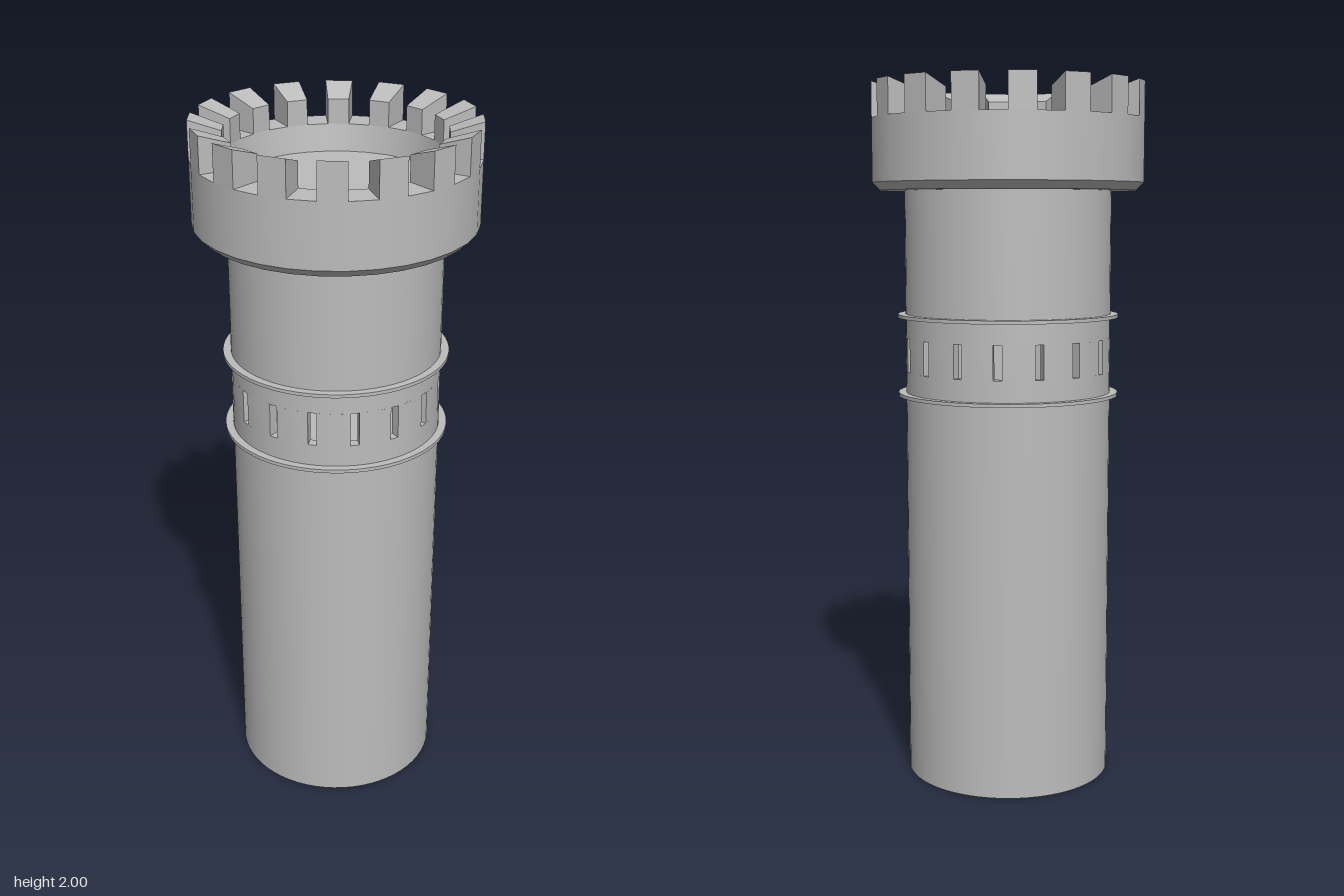
import * as THREE from 'three';
import { mergeGeometries, toCreasedNormals } from 'three/addons/utils/BufferGeometryUtils.js';

const STONE = new THREE.MeshStandardMaterial({ color: 0xbcbcbc });
STONE.name = 'stone grey';

const R = 0.295;          // shaft radius
const RI = 0.265;         // inside of the gallery wall
const SLOT_LOW = 1.187, SLOT_HIGH = 1.283;
const HEAD_R = 0.388, HEAD_INNER = 0.2985;

// Turned shape: round around the axis, sharp at every profile corner
function turned(points, sides, start = 0) {
  const bands = [];
  for (let i = 0; i < points.length - 1; i++) {
    const pair = [points[i], points[i + 1]].map(([r, y]) => new THREE.Vector2(r, y));
    bands.push(new THREE.LatheGeometry(pair, sides, start));
  }
  return mergeGeometries(bands);
}

// One wall piece between two window slots, with parallel slot sides
function pierGeometry() {
  const halfSlot = 0.012, half = Math.PI / 16, steps = 4;
  const outer = half - Math.asin(halfSlot / R);
  const inner = half - Math.asin(halfSlot / RI);
  const pts = [];
  const arc = (r, from, to) => {
    for (let i = 0; i <= steps; i++) {
      const a = from + (to - from) * i / steps;
      pts.push(new THREE.Vector2(r * Math.cos(a), r * Math.sin(a)));
    }
  };
  arc(R, -outer, outer);
  arc(RI, inner, -inner);
  const geo = new THREE.ExtrudeGeometry(new THREE.Shape(pts), {
    depth: SLOT_HIGH - SLOT_LOW, bevelEnabled: false,
  });
  geo.rotateX(-Math.PI / 2);
  geo.translate(0, SLOT_LOW, 0);
  return toCreasedNormals(geo, 0.5);
}

// Wedge-shaped battlement whose top slopes down inward
function merlonGeometry() {
  const geo = new THREE.BoxGeometry(1, 1, 1);
  const p = geo.attributes.position;
  for (let i = 0; i < p.count; i++) {
    const angle = Math.sign(p.getX(i)) * Math.PI / 32;
    const isOuter = p.getZ(i) > 0;
    const r = isOuter ? HEAD_R : HEAD_INNER;
    const y = p.getY(i) < 0 ? 1.9 : isOuter ? 2.0 : 1.97;
    p.setXYZ(i, r * Math.sin(angle), y, r * Math.cos(angle));
  }
  geo.computeVertexNormals();
  return geo;
}

export function createModel() {
  const tower = new THREE.Group();
  tower.name = 'tower';

  const add = (name, geometry, parent = tower) => {
    const mesh = new THREE.Mesh(geometry, STONE);
    mesh.name = name;
    parent.add(mesh);
    return mesh;
  };
  const addAround = (groupName, name, geometry, count) => {
    const group = new THREE.Group();
    group.name = groupName;
    tower.add(group);
    for (let i = 0; i < count; i++) {
      add(name, geometry, group).rotation.y = i * Math.PI * 2 / count;
    }
  };

  // Shaft below and above the hollow gallery
  add('lowerShaft', turned(
    [[0, 0], [R, 0], [R, SLOT_LOW], [RI, SLOT_LOW], [RI, 1.12], [0, 1.12]], 64));
  add('upperShaft', turned(
    [[0, 1.345], [RI, 1.345], [RI, SLOT_HIGH], [R, SLOT_HIGH], [R, 1.7]], 64));

  // Gallery wall with sixteen open slots
  addAround('galleryWall', 'galleryPier', pierGeometry(), 16);

  // Thin ledges above and below the gallery
  for (const [name, y] of [['lowerLedge', 1.121], ['upperLedge', 1.346]]) {
    const h = 0.005, edge = 0.317;
    add(name, turned([[R, y - h], [edge, y - h], [edge, y + h], [R, y + h]], 64));
  }

  // Wide head with a chamfered foot and a sunken roof floor
  add('head', turned([
    [R - 0.01, 1.7], [0.366, 1.7], [HEAD_R, 1.722], [HEAD_R, 1.9],
    [HEAD_INNER, 1.9], [0.287, 1.825], [0, 1.825],
  ], 32, Math.PI / 32));

  // Battlements
  addAround('battlements', 'merlon', merlonGeometry(), 16);

  // Trapdoor in the roof floor
  const frame = add('trapdoorFrame', new THREE.BoxGeometry(0.086, 0.004, 0.086));
  frame.position.set(0.107, 1.826, 0.145);
  const hatch = add('trapdoor', new THREE.BoxGeometry(0.079, 0.004, 0.079));
  hatch.position.set(0.107, 1.829, 0.145);

  return tower;
}
